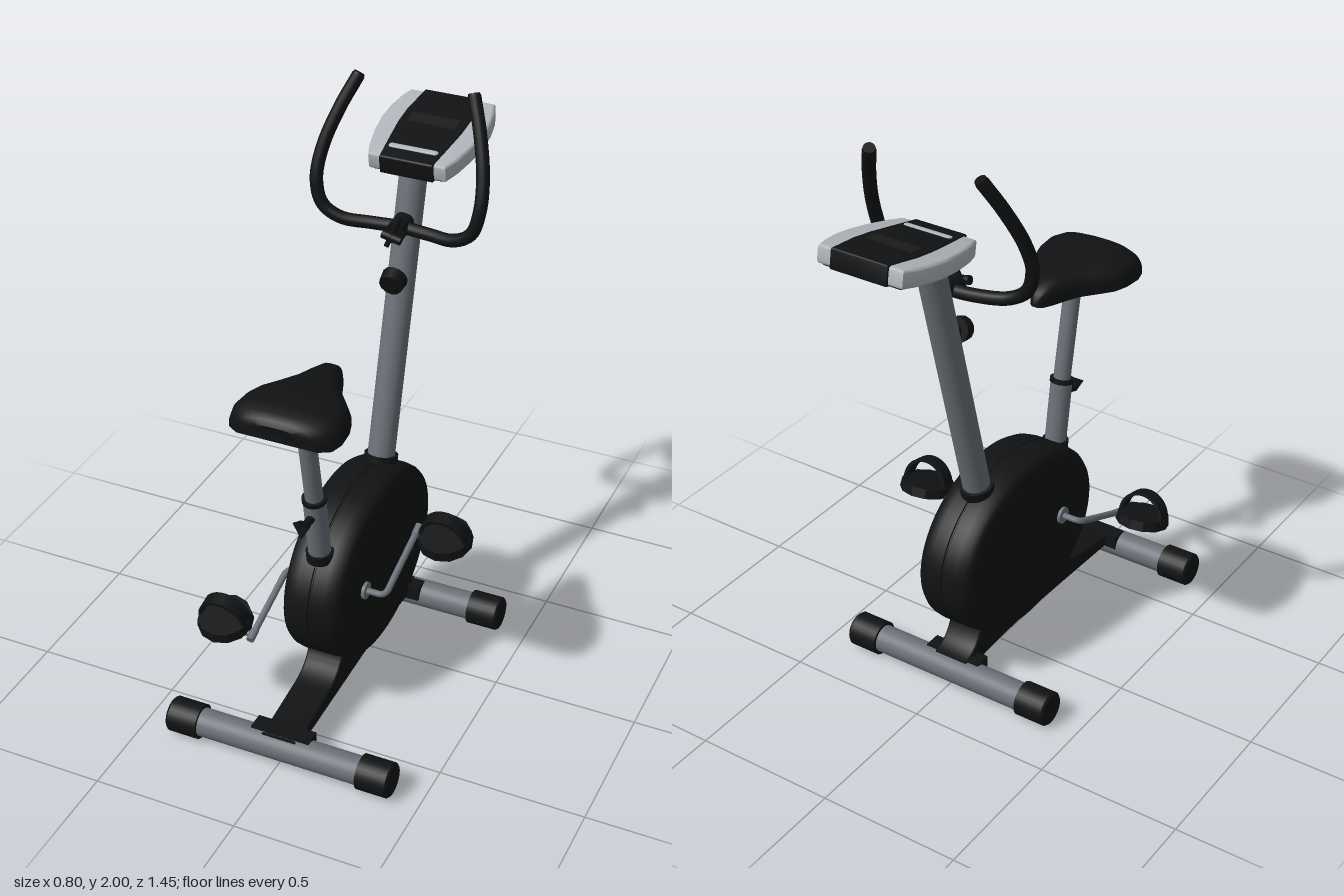
import * as THREE from 'three';
import { toCreasedNormals } from 'three/addons/utils/BufferGeometryUtils.js';

const mat = (color) => new THREE.MeshStandardMaterial({ color });
const V = (x, y, z) => new THREE.Vector3(x, y, z);

export function createModel() {
  const model = new THREE.Group();
  const black = mat(0x101213), steel = mat(0x6a7077), silver = mat(0xb0b4ba), dark = mat(0x1b1c1a);

  const add = (name, geo, material, parent = model) => {
    const mesh = new THREE.Mesh(geo, material);
    mesh.name = name;
    parent.add(mesh);
    return mesh;
  };
  // Cylinder between two points
  const rod = (name, a, b, r, material, r2 = r, sides = 28) => {
    const d = b.clone().sub(a);
    const m = add(name, new THREE.CylinderGeometry(r2, r, d.length(), sides), material);
    m.position.copy(a).add(b).multiplyScalar(0.5);
    m.quaternion.setFromUnitVectors(V(0, 1, 0), d.normalize());
  };
  // Bevelled slab from a shape, centred on its thickness
  const slab = (shape, depth, bevel) => {
    const geo = new THREE.ExtrudeGeometry(shape, {
      depth: depth - 2 * bevel, bevelEnabled: bevel > 0, bevelSize: bevel, bevelOffset: -bevel,
      bevelThickness: bevel, bevelSegments: 3, curveSegments: 16,
    });
    return toCreasedNormals(geo.translate(0, 0, -depth / 2 + bevel), 0.6);
  };

  // Feet: steel tubes with black end caps
  for (const [label, z] of [['rear', 0.66], ['front', -0.29]]) {
    rod(label + 'FootTube', V(-0.3, 0.064, z), V(0.3, 0.064, z), 0.049, steel);
    for (const s of [-1, 1]) {
      rod(label + 'FootCap', V(s * 0.29, 0.064, z), V(s * 0.395, 0.064, z), 0.06, black);
      rod(label + 'FootCapEnd', V(s * 0.395, 0.064, z), V(s * 0.402, 0.064, z), 0.06, black, 0.054);
    }
  }

  // Base frame under the wheel housing
  const base = new THREE.Shape();
  base.moveTo(0.68, 0.112);
  base.lineTo(0.6, 0.112);
  base.lineTo(0.44, 0.135);
  base.quadraticCurveTo(0.33, 0.145, 0.31, 0.24);
  base.lineTo(-0.2, 0.24);
  base.quadraticCurveTo(-0.22, 0.13, -0.3, 0.118);
  base.lineTo(-0.3, 0.08);
  base.lineTo(-0.2, 0.08);
  base.quadraticCurveTo(0.0, 0.098, 0.2, 0.088);
  base.lineTo(0.62, 0.07);
  base.lineTo(0.68, 0.09);
  add('baseFrame', slab(base, 0.13, 0.008).rotateY(-Math.PI / 2), black);
  for (const z of [0.638, -0.26]) {
    add('footBracket', new THREE.BoxGeometry(0.21, 0.05, 0.06), black).position.set(0, 0.094, z);
  }

  // Oval wheel housing with a centre seam
  const half = [[0.9, 0.104], [0.95, 0.098], [0.985, 0.08], [1, 0.05], [1, 0.005], [0.99, 0.002]];
  const profile = [[0, -0.106], ...half.map(([r, x]) => [r, -x]), ...half.slice().reverse(), [0, 0.106]]
    .map(([r, x]) => new THREE.Vector2(r, x));
  const housing = new THREE.LatheGeometry(profile, 64).rotateZ(-Math.PI / 2).scale(1, 0.313, 0.396);
  add('wheelHousing', toCreasedNormals(housing, 0.7), black).position.set(0, 0.434, 0.049);

  // Front post, its collar and height knob
  const post = (y) => V(0, y, -0.14 - (y - 0.74) * 0.26);
  rod('frontPost', post(0.64), post(1.73), 0.047, steel);
  rod('frontPostCollar', post(0.69), post(0.735), 0.058, black);
  const knob = post(1.365);
  rod('postKnobStem', knob, knob.clone().add(V(0, -0.004, 0.08)), 0.02, black);
  rod('postKnob', knob.clone().add(V(0, 0, 0.06)), knob.clone().add(V(0, -0.012, 0.1)), 0.045, black, 0.04, 12);

  // Seat post with sleeve, collar and knob
  rod('seatSleeve', V(0, 0.6, 0.342), V(0, 0.88, 0.384), 0.038, steel);
  rod('seatSleeveBase', V(0, 0.62, 0.345), V(0, 0.655, 0.35), 0.046, black);
  rod('seatSleeveCollar', V(0, 0.87, 0.382), V(0, 0.885, 0.385), 0.041, black);
  rod('seatPost', V(0, 0.86, 0.381), V(0, 1.27, 0.455), 0.03, steel);
  rod('seatKnobStem', V(0, 0.815, 0.38), V(0, 0.818, 0.46), 0.014, black);
  rod('seatKnob', V(0, 0.816, 0.445), V(0, 0.818, 0.48), 0.022, black, 0.036, 3);

  // Saddle: domed cross-sections [z, half width, top, bottom] from tail to nose
  const sections = [
    [0.635, 0, 1.28, 1.28], [0.645, 0.09, 1.298, 1.25], [0.635, 0.135, 1.315, 1.242], [0.61, 0.172, 1.328, 1.24],
    [0.565, 0.184, 1.335, 1.24], [0.5, 0.179, 1.334, 1.24], [0.45, 0.163, 1.328, 1.24], [0.4, 0.125, 1.323, 1.24],
    [0.35, 0.085, 1.32, 1.24], [0.3, 0.062, 1.316, 1.24], [0.25, 0.042, 1.306, 1.24], [0.22, 0.026, 1.285, 1.24],
    [0.207, 0.012, 1.262, 1.241], [0.205, 0, 1.25, 1.25],
  ];
  const N = 20, pos = [], idx = [];
  sections.forEach(([z, w, top, bottom], i) => {
    for (let j = 0; j <= N; j++) {
      const a = (j / N) * Math.PI, c = Math.cos(a);
      pos.push(Math.sign(c) * w * Math.abs(c) ** 0.75, bottom + (top - bottom) * Math.max(0, Math.sin(a)) ** 0.6, z);
      if (i === sections.length - 1) continue;
      const k = (j + 1) % (N + 1), p = i * (N + 1), q = p + N + 1;
      idx.push(p + j, q + j, p + k, p + k, q + j, q + k);
    }
  });
  const saddle = new THREE.BufferGeometry();
  saddle.setAttribute('position', new THREE.Float32BufferAttribute(pos, 3));
  saddle.setIndex(idx);
  add('saddle', toCreasedNormals(saddle, 0.8), black);

  // Handlebar: one mirrored tube with closed ends
  const side = [V(0.2, 1.985, -0.393), V(0.245, 1.88, -0.34), V(0.28, 1.76, -0.285), V(0.286, 1.66, -0.25),
    V(0.262, 1.58, -0.243), V(0.2, 1.54, -0.25), V(0.1, 1.53, -0.274)];
  const barPath = [...side, V(0, 1.53, -0.285), ...side.slice().reverse().map((p) => V(-p.x, p.y, p.z))];
  add('handlebar', new THREE.TubeGeometry(new THREE.CatmullRomCurve3(barPath), 90, 0.022, 14), black);
  for (const s of [-1, 1]) {
    rod('handlebarEnd', V(s * 0.204, 1.976, -0.389), V(s * 0.198, 1.991, -0.396), 0.022, black, 0.019);
  }
  // Handlebar clamp with tightening lever
  rod('handlebarClamp', V(0, 1.54, -0.33), V(0, 1.53, -0.24), 0.034, black);
  rod('clampScrew', V(0, 1.53, -0.25), V(0, 1.525, -0.2), 0.014, black);
  rod('clampLever', V(-0.02, 1.49, -0.215), V(0.025, 1.6, -0.225), 0.009, black);
  rod('clampGrip', V(-0.032, 1.535, -0.21), V(0.034, 1.52, -0.21), 0.015, black);

  // Console: silver body with a black centre panel; local +y points to the far end
  const consoleGroup = new THREE.Group();
  consoleGroup.name = 'console';
  consoleGroup.position.set(0, 1.756, -0.52);
  consoleGroup.rotation.x = -Math.PI / 2 + 0.175;
  model.add(consoleGroup);
  const outline = (rows) => new THREE.Shape([...rows, ...rows.slice().reverse().map(([x, y]) => [-x, y])]
    .map(([x, y]) => new THREE.Vector2(x, y)));
  add('consoleSides', slab(outline([[0.135, -0.195], [0.155, -0.14], [0.172, -0.06], [0.181, 0.02], [0.179, 0.09],
    [0.168, 0.15], [0.152, 0.198]]), 0.06, 0.01), silver, consoleGroup);
  add('consolePanel', slab(outline([[0.093, -0.203], [0.104, -0.1], [0.114, 0], [0.115, 0.08], [0.101, 0.204]]),
    0.068, 0.006), black, consoleGroup);
  const back = add('consoleBack', slab(outline([[0.12, -0.185], [0.15, -0.06], [0.16, 0.04], [0.14, 0.185]]),
    0.012, 0.004), black, consoleGroup);
  back.position.z = -0.03;
  add('screen', new THREE.BoxGeometry(0.17, 0.055, 0.004), dark, consoleGroup).position.set(0, 0.035, 0.034);
  const strip = new THREE.CapsuleGeometry(0.012, 0.15, 4, 10).rotateZ(Math.PI / 2).scale(1, 1, 0.4);
  add('buttonStrip', strip, silver, consoleGroup).position.set(0, -0.135, 0.034);

  // Cranks and pedals, opposed about the hub
  const hubY = 0.44, hubZ = 0.23;
  for (const s of [1, -1]) {
    const at = (x, t) => V(s * x, hubY + s * 0.105 * t, hubZ - s * 0.26 * t);
    rod('crankHub', at(0.1, 0), at(0.116, 0), 0.03, steel);
    const path = new THREE.CurvePath();
    path.add(new THREE.LineCurve3(at(0.1, 0), at(0.155, 0)));
    path.add(new THREE.QuadraticBezierCurve3(at(0.155, 0), at(0.18, 0), at(0.181, 0.1)));
    path.add(new THREE.LineCurve3(at(0.181, 0.1), at(0.186, 1.04)));
    add('crankArm', new THREE.TubeGeometry(path, 50, 0.0115, 10), steel);
    rod('crankTip', at(0.186, 0.9), at(0.186, 1.05), 0.014, steel);
    rod('pedalSpindle', at(0.18, 0.97), at(0.25, 0.97), 0.01, steel);

    const pedal = new THREE.Group();
    pedal.name = 'pedal';
    pedal.position.set(s * 0.293, s > 0 ? 0.553 : 0.365, s > 0 ? -0.01 : 0.472);
    pedal.rotation.x = 0.22;
    model.add(pedal);
    const plate = toCreasedNormals(new THREE.CylinderGeometry(0.09, 0.095, 0.034, 12), 0.4);
    add('pedalPlate', plate, black, pedal);
    // Toe strap: a thin arched band
    const arch = new THREE.Shape();
    arch.absellipse(0, 0, 0.086, 0.09, 0, Math.PI, false);
    arch.absellipse(0, 0, 0.074, 0.078, Math.PI, 0, true);
    add('pedalStrap', slab(arch, 0.05, 0), black, pedal).position.set(0, 0.008, 0);
  }
  return model;
}
